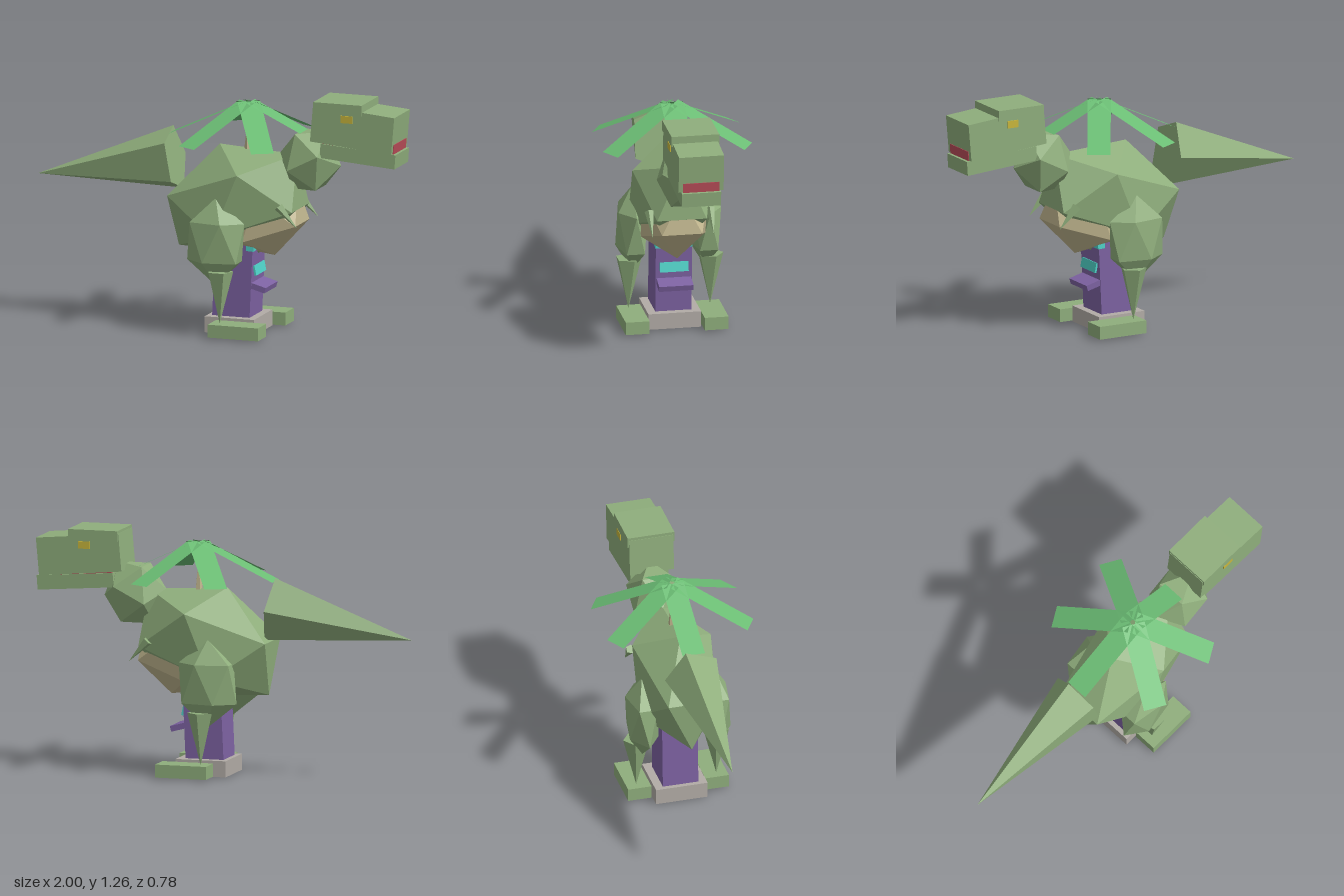
import * as THREE from 'three';

const mat = (name, color, extra = {}) => {
  const m = new THREE.MeshStandardMaterial({ color, flatShading: true, ...extra });
  m.name = name;
  return m;
};

export function createModel() {
  const green = mat('skin green', 0x8fae7c);
  const tan = mat('belly tan', 0xc2b78f);
  const leaf = mat('leaf green', 0x6bbd74, { side: THREE.DoubleSide });
  const purple = mat('post purple', 0x7d62a2);
  const teal = mat('screen teal', 0x4fd2c8);
  const grey = mat('base grey', 0xb2aca6);
  const red = mat('mouth red', 0xb84c58);
  const yellow = mat('eye yellow', 0xc8b63c);

  const root = new THREE.Group();
  root.name = 'dinosaur';

  const add = (name, geo, material, x = 0, y = 0, z = 0, rz = 0) => {
    const m = new THREE.Mesh(geo, material);
    m.name = name;
    m.position.set(x, y, z);
    m.rotation.z = rz;
    root.add(m);
    return m;
  };
  const box = (name, material, w, h, d, x, y, z = 0, rz = 0) =>
    add(name, new THREE.BoxGeometry(w, h, d), material, x, y, z, rz);

  // Faceted lump: an icosahedron stretched along two slanted side axes and z
  const lump = (name, material, x, y, ex, ey, sz) => {
    const basis = new THREE.Matrix4().makeBasis(
      new THREE.Vector3(ex[0], ex[1], 0),
      new THREE.Vector3(ey[0], ey[1], 0),
      new THREE.Vector3(0, 0, sz));
    const geo = new THREE.IcosahedronGeometry(1, 0).applyMatrix4(basis);
    geo.computeVertexNormals();
    return add(name, geo, material, x, y);
  };

  // Torso, belly and neck
  lump('body', green, 0.0975, 0.688, [0.4025, -0.024], [0.132, 0.323], 0.247);
  lump('belly', tan, 0.218, 0.618, [0.273, -0.033], [0.072, 0.224], 0.2);
  lump('neck', green, 0.494, 0.927, [0.066, -0.17], [0.158, 0.081], 0.15);

  // Five-sided tail
  const tail = new THREE.ConeGeometry(0.174, 0.767, 5, 1, false, Math.PI);
  tail.rotateZ(Math.PI / 2).scale(1, 1, 0.86);
  add('tail', tail, green, -0.6225, 0.8125, 0, 0.177);

  // Head
  box('skull', green, 0.447, 0.196, 0.236, 0.766, 1.1275, 0, -0.088);
  box('brow', green, 0.266, 0.055, 0.25, 0.688, 1.232);
  box('jaw', green, 0.412, 0.075, 0.205, 0.79, 0.985, 0, -0.075);
  box('mouth', red, 0.39, 0.056, 0.19, 0.791, 1.045, 0, -0.075);

  // Mirrored parts
  for (const s of [1, -1]) {
    const side = s > 0 ? 'left' : 'right';
    box(side + 'Eye', yellow, 0.064, 0.038, 0.008, 0.736, 1.179, s * 0.12);

    // Thigh with a corner pointing up
    const thigh = new THREE.IcosahedronGeometry(1, 0);
    thigh.rotateZ(-Math.atan(0.618034)).scale(0.175, 0.23, 0.09);
    add(side + 'Thigh', thigh, green, 0.045, 0.5, s * 0.192);

    // Shin tapers down to the foot
    const shin = new THREE.ConeGeometry(0.07, 0.275, 5);
    shin.rotateX(Math.PI);
    add(side + 'Shin', shin, green, 0.075, 0.2125, s * 0.214);
    box(side + 'Foot', green, 0.275, 0.068, 0.125, 0.167, 0.043, s * 0.207);

    // Short arm
    const arm = new THREE.ConeGeometry(0.025, 0.15, 5);
    arm.rotateZ(-2.4);
    add(side + 'Arm', arm, green, 0.43, 0.647, s * 0.16);
  }

  // Back spike and leaf canopy
  add('spike', new THREE.ConeGeometry(0.02, 0.18, 5), tan, 0.153, 1.05);
  const canopy = new THREE.Group();
  canopy.name = 'canopy';
  canopy.position.set(0.155, 1.21, 0);
  const inner = 0.012, outer = 0.417, drop = 0.19;
  const run = outer - inner;
  for (let i = 0; i < 6; i++) {
    const geo = new THREE.PlaneGeometry(Math.hypot(run, drop), 0.12);
    geo.rotateX(-Math.PI / 2).rotateZ(-Math.atan2(drop, run));
    geo.translate((inner + outer) / 2, -drop / 2, 0).rotateY(i * Math.PI / 3);
    const blade = new THREE.Mesh(geo, leaf);
    blade.name = 'leaf';
    canopy.add(blade);
  }
  root.add(canopy);

  // Control post under the belly
  box('postBase', grey, 0.27, 0.084, 0.276, 0.1, 0.048);
  box('post', purple, 0.205, 0.5, 0.19, 0.1, 0.255, 0, -0.045);
  box('postBand', teal, 0.04, 0.035, 0.194, 0.197, 0.458, 0, -0.045);
  box('screen', teal, 0.01, 0.052, 0.15, 0.215, 0.335, 0, 0.2);
  box('shelf', purple, 0.095, 0.03, 0.18, 0.232, 0.25, 0, -0.27);

  return root;
}
